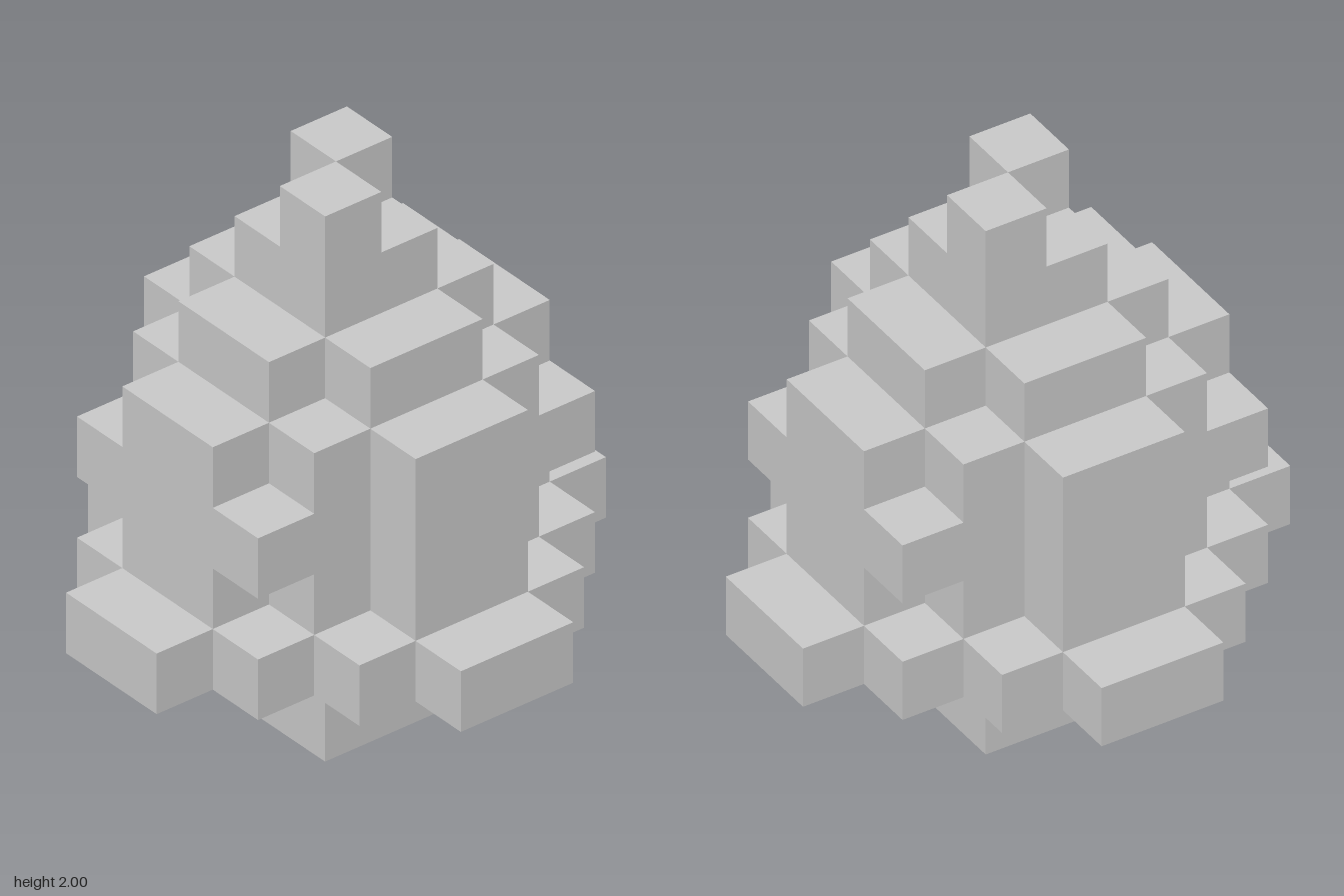
import * as THREE from 'three';

const U = 2 / 9; // edge of one block

// Each part fills layers y0..y1; a and b count blocks outward from the centre in x and z.
const diamond = (n) => (a, b) => a + b <= n;
const PARTS = [
  { name: 'trunk', y0: 0, y1: 1, has: (a, b) => a < 1 && b < 1 },
  { name: 'lowestBranches', y0: 2, y1: 2, has: diamond(3) },
  { name: 'lowerFoliage', y0: 3, y1: 3, has: diamond(2) },
  // middle layer widens at the front and back only
  { name: 'middleFoliage', y0: 4, y1: 4, has: (a, b) => a + b <= 2 || (a === 1 && b === 2) },
  { name: 'upperFoliage', y0: 5, y1: 5, has: diamond(2) },
  { name: 'shoulder', y0: 6, y1: 6, has: diamond(1) },
  { name: 'crown', y0: 7, y1: 7, has: diamond(0) },
  // two blocks touching along the central diagonal
  { name: 'tip', y0: 8, y1: 8, has: (a, b, x, z) => a + b === 0 && x === z },
];

// Block indices run -4..3 in x and z
const ring = (i) => (i < 0 ? -1 - i : i);
const inPart = (p, x, y, z) =>
  y >= p.y0 && y <= p.y1 && p.has(ring(x), ring(z), x, z);
const filled = (x, y, z) => PARTS.some((p) => inPart(p, x, y, z));

// Only the outward faces of a part's blocks
function blockGeometry(part) {
  const positions = [], normals = [], index = [];
  const addFace = (cell, axis, sign) => {
    const u = (axis + 1) % 3, v = (axis + 2) % 3;
    const base = positions.length / 3;
    for (const [s, t] of [[0, 0], [1, 0], [1, 1], [0, 1]]) {
      const c = [...cell];
      c[axis] += sign > 0 ? 1 : 0;
      c[u] += s;
      c[v] += t;
      positions.push(c[0] * U, c[1] * U, c[2] * U);
      const n = [0, 0, 0];
      n[axis] = sign;
      normals.push(...n);
    }
    const order = sign > 0 ? [0, 1, 2, 0, 2, 3] : [0, 2, 1, 0, 3, 2];
    index.push(...order.map((i) => base + i));
  };
  for (let y = part.y0; y <= part.y1; y++)
    for (let x = -4; x < 4; x++)
      for (let z = -4; z < 4; z++) {
        if (!inPart(part, x, y, z)) continue;
        for (let axis = 0; axis < 3; axis++)
          for (const sign of [-1, 1]) {
            const next = [x, y, z];
            next[axis] += sign;
            if (!filled(...next)) addFace([x, y, z], axis, sign);
          }
      }
  const geometry = new THREE.BufferGeometry();
  geometry.setAttribute('position', new THREE.Float32BufferAttribute(positions, 3));
  geometry.setAttribute('normal', new THREE.Float32BufferAttribute(normals, 3));
  geometry.setIndex(index);
  return geometry;
}

export function createModel() {
  const tree = new THREE.Group();
  tree.name = 'blockTree';
  const material = new THREE.MeshStandardMaterial({ color: 0xcccccc, flatShading: true });
  for (const part of PARTS) {
    const mesh = new THREE.Mesh(blockGeometry(part), material);
    mesh.name = part.name;
    tree.add(mesh);
  }
  return tree;
}
